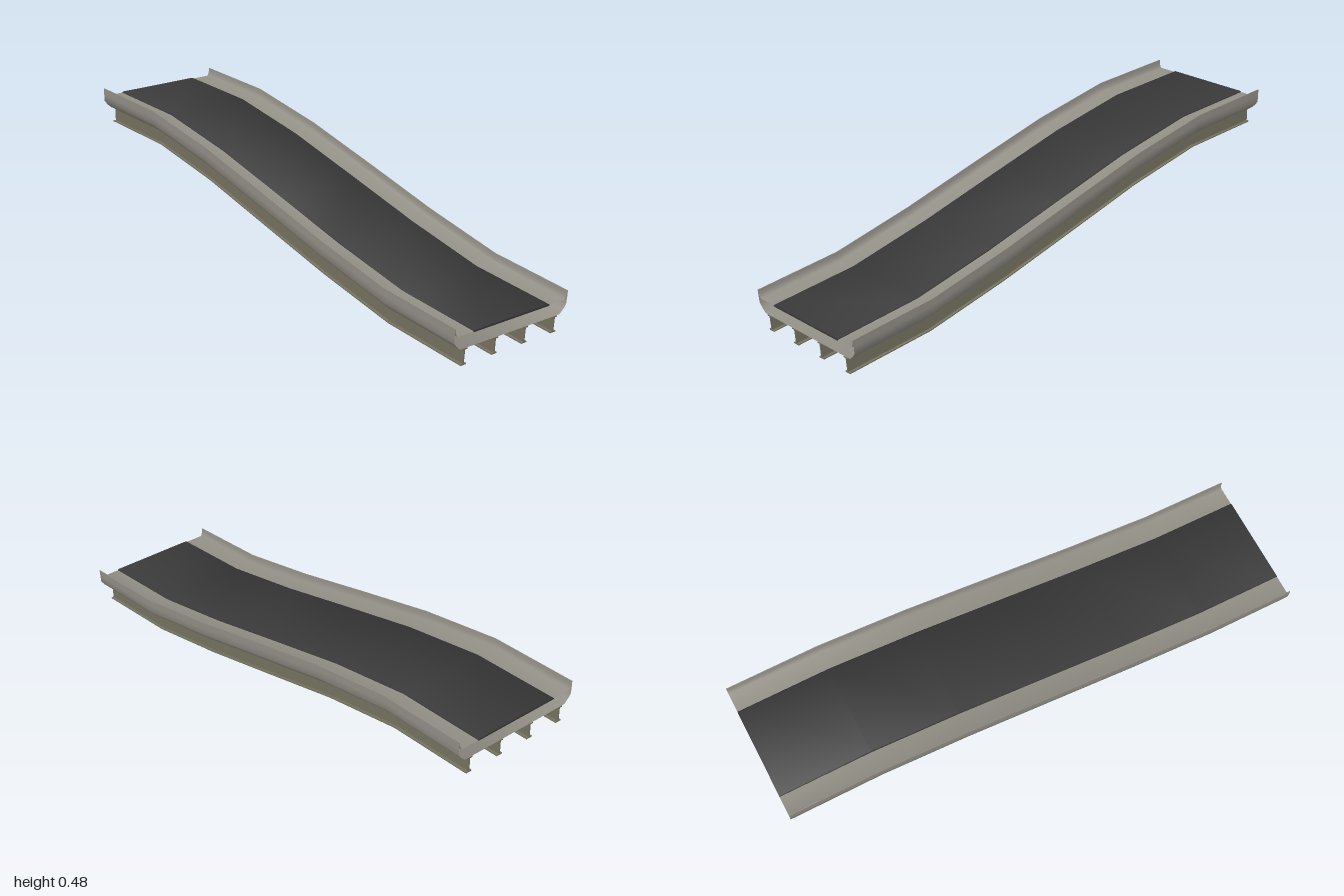
import * as THREE from 'three';
import { toCreasedNormals } from 'three/addons/utils/BufferGeometryUtils.js';

// Stations along the ramp, front to back: z, height, lean of the cross-section
const STATIONS = [
  [0.988, 0, 0.085], [0.645, 0.03, 0.14], [0.31, 0.1, 0.2], [-0.02, 0.182, 0.25],
  [-0.35, 0.265, 0.2], [-0.67, 0.325, 0.1], [-1, 0.34, 0],
];

// Sweep a clockwise cross-section along the stations; closed ones get end caps
function sweep(profile, closed) {
  const n = profile.length, pos = [], index = [];
  for (const [z, h, lean] of STATIONS) {
    for (const [x, y] of profile) pos.push(x, y + h, z + lean * y);
  }
  for (let s = 0; s < STATIONS.length - 1; s++) {
    for (let i = 0; i < (closed ? n : n - 1); i++) {
      const j = (i + 1) % n;
      const a = s * n + i, b = s * n + j, c = b + n, d = a + n;
      index.push(a, b, c, a, c, d);
    }
  }
  if (closed) {
    const contour = profile.map(([x, y]) => new THREE.Vector2(x, y));
    const last = (STATIONS.length - 1) * n;
    for (const [a, b, c] of THREE.ShapeUtils.triangulateShape(contour, [])) {
      const [p, q, r] = [contour[a], contour[b], contour[c]];
      const ccw = (q.x - p.x) * (r.y - p.y) - (q.y - p.y) * (r.x - p.x) > 0;
      const [u, v] = ccw ? [b, c] : [c, b];
      index.push(a, u, v, last + a, last + v, last + u);
    }
  }
  const geo = new THREE.BufferGeometry();
  geo.setAttribute('position', new THREE.Float32BufferAttribute(pos, 3));
  geo.setIndex(index);
  return toCreasedNormals(geo, 0.9);
}

export function createModel() {
  const concrete = new THREE.MeshStandardMaterial({ color: 0x928f86, side: THREE.DoubleSide });
  concrete.name = 'concrete grey';
  const asphalt = new THREE.MeshStandardMaterial({ color: 0x393939, side: THREE.DoubleSide });
  asphalt.name = 'asphalt';
  const steel = new THREE.MeshStandardMaterial({ color: 0x75725f });
  steel.name = 'girder steel';

  const ramp = new THREE.Group();
  ramp.name = 'ramp';
  const add = (name, geo, mat) => {
    const mesh = new THREE.Mesh(geo, mat);
    mesh.name = name;
    ramp.add(mesh);
    return mesh;
  };

  // Hollow shell: shoulder, kerb wall, rounded side and underside, mirrored
  const half = [
    [0.167, 0.109], [0.238, 0.109], [0.243, 0.112], [0.248, 0.125], [0.249, 0.14],
    [0.252, 0.14], [0.252, 0.115], [0.251, 0.09], [0.24, 0.075], [0.223, 0.06],
  ];
  const mirrored = half.map(([x, y]) => [-x, y]).reverse();
  add('shell', sweep([...half, ...mirrored], false), concrete);

  // Road surface
  add('roadDeck', sweep([
    [-0.169, 0.106], [-0.169, 0.110], [-0.166, 0.113],
    [0.166, 0.113], [0.169, 0.110], [0.169, 0.106],
  ], true), asphalt);

  // Four I-beam girders under the shell
  const f = 0.012, w = 0.002, t = 0.004, top = 0.0585;
  const girder = sweep([
    [-f, 0], [-f, t], [-w, t], [-w, top - t], [-f, top - t], [-f, top],
    [f, top], [f, top - t], [w, top - t], [w, t], [f, t], [f, 0],
  ], true);
  for (let i = 0; i < 4; i++) {
    add('girder' + (i + 1), girder, steel).position.x = -0.202 + i * 0.1347;
  }
  return ramp;
}
